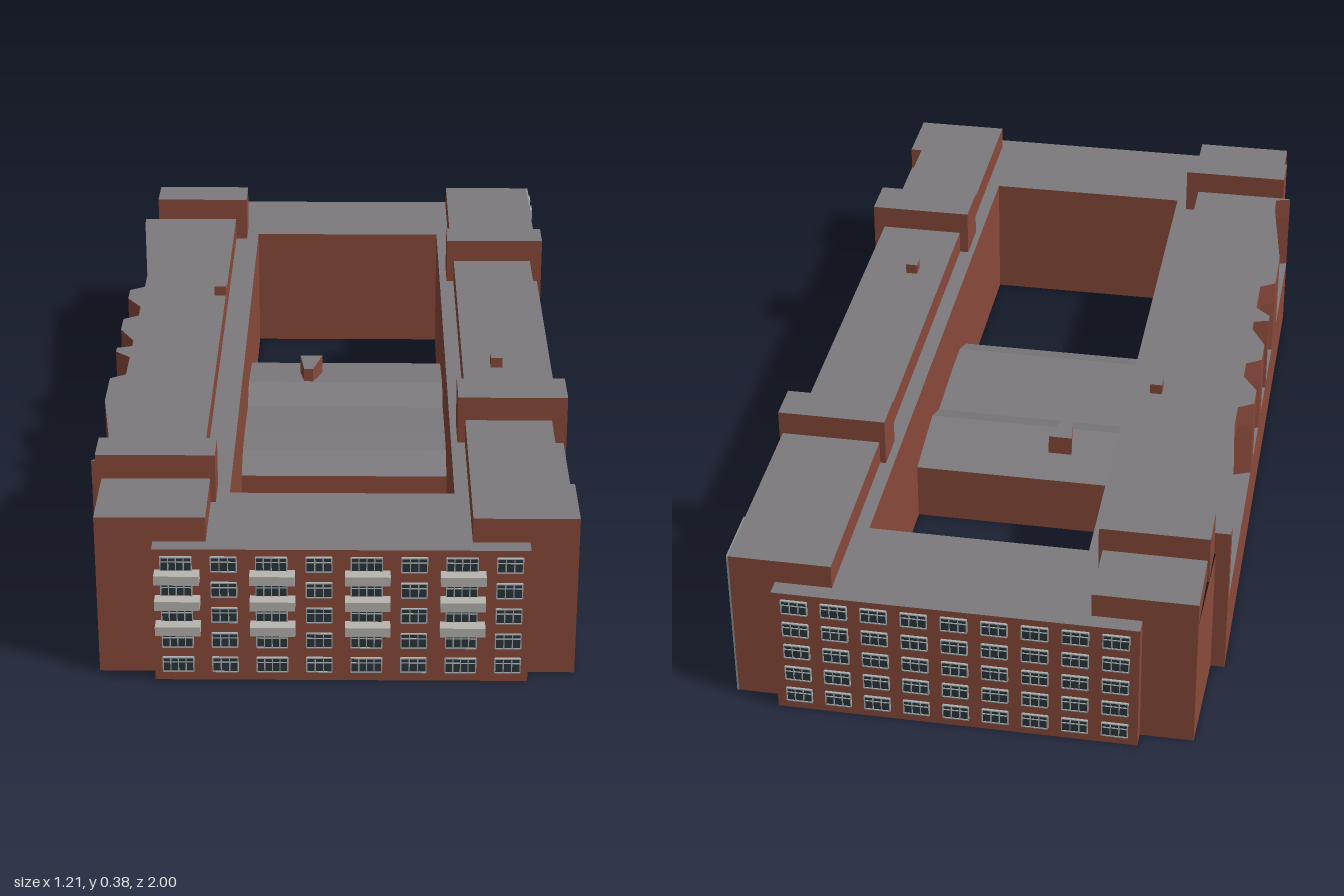
import * as THREE from 'three';

const mat = (color, side = THREE.FrontSide) =>
  new THREE.MeshStandardMaterial({ color, side, flatShading: true });

export function createModel() {
  const model = new THREE.Group();
  model.name = 'courtyardBlock';
  const block = new THREE.Group();
  block.name = 'building';
  block.rotation.y = 0.178; // the block stands at an angle to the axes
  model.add(block);

  const brick = mat(0x8a4a3b, THREE.DoubleSide);
  const roof = mat(0x7d7a7d, THREE.DoubleSide);
  const render = mat(0x8f9696, THREE.DoubleSide);
  const glass = mat(0x2c363c);
  const frame = mat(0xa9b0b2);
  const white = mat(0xb8b6b0);

  const rect = (x0, x1, z0, z1) => [[x0, z0], [x1, z0], [x1, z1], [x0, z1]];
  const toPath = (C, p) => new C(p.map(([x, z]) => new THREE.Vector2(x, -z)));

  // Flat roof or ledge, plan in [x, z]
  function slab(name, plan, y) {
    const geo = new THREE.ShapeGeometry(toPath(THREE.Shape, plan)).rotateX(-Math.PI / 2);
    const m = new THREE.Mesh(geo, roof);
    m.position.y = y;
    m.name = name;
    block.add(m);
  }

  // Brick walls rising along a plan, open above and below
  function walls(name, plan, y0, y1, holes = []) {
    const shape = toPath(THREE.Shape, plan);
    shape.holes = holes.map((h) => toPath(THREE.Path, h));
    const geo = new THREE.ExtrudeGeometry(shape, { depth: y1 - y0, bevelEnabled: false });
    geo.rotateX(-Math.PI / 2).translate(0, y0, 0);
    const { start, count } = geo.groups[1];
    const out = new THREE.BufferGeometry();
    const pos = geo.attributes.position.array.slice(start * 3, (start + count) * 3);
    out.setAttribute('position', new THREE.BufferAttribute(pos, 3));
    out.computeVertexNormals();
    const m = new THREE.Mesh(out, brick);
    m.name = name;
    block.add(m);
  }

  function mass(name, plan, y0, y1) {
    walls(name + 'Walls', plan, y0, y1);
    slab(name + 'Roof', plan, y1);
  }

  function box(parent, name, material, w, h, d, x, y, z) {
    const m = new THREE.Mesh(new THREE.BoxGeometry(w, h, d), material);
    m.position.set(x, y, z);
    m.name = name;
    parent.add(m);
  }

  // Window facing +z: dark pane, surround and glazing bars
  function windowUnit(parent, x, y, z, w, h, bars) {
    const g = new THREE.Group();
    g.name = 'window';
    g.position.set(x, y, z);
    box(g, 'pane', glass, w, h, 0.004, 0, 0, 0.001);
    const t = 0.0022;
    for (const s of [-1, 1]) box(g, 'rail', frame, w, t, 0.006, 0, s * h / 2, 0.002);
    for (let i = 0; i <= bars; i++)
      box(g, 'mullion', frame, t, h, 0.006, -w / 2 + (i * w) / bars, 0, 0.002);
    box(g, 'transom', frame, w, t * 0.7, 0.006, 0, h * 0.18, 0.002);
    parent.add(g);
  }

  function facade(name, x, z, turn) {
    const g = new THREE.Group();
    g.name = name;
    g.position.set(x, 0, z);
    g.rotation.y = turn;
    block.add(g);
    return g;
  }
  const rows = [0.035, 0.088, 0.142, 0.196, 0.25];

  // Recesses in the left flank as [rear, rear inner, front inner, front] along z
  const recesses = [[-0.66, -0.32, -0.25, -0.23], [-0.18, -0.13, -0.08, -0.06],
    [0.0, 0.06, 0.09, 0.1], [0.12, 0.15, 0.24, 0.26], [0.37, 0.6, 0.64, 0.65]];
  const flank = (inner) => [[-0.487, -0.69],
    ...recesses.flatMap(([a, b, c, d]) => [[-0.487, a], [inner, b], [inner, c], [-0.487, d]])];
  const rightRecess = [[0.45, 0], [0.42, -0.04], [0.42, -0.23], [0.45, -0.25]];

  // Ring outline with the slight projections of towers and facades
  const ring = (left, right) => [
    [-0.35, 0.925], [0.358, 0.925], [0.358, 0.892], [0.45, 0.892],
    [0.45, 0.46], [0.456, 0.46], [0.456, 0.365], [0.45, 0.365], ...right,
    [0.45, -0.417], [0.459, -0.417], [0.459, -0.498], [0.452, -0.498],
    [0.452, -0.918], [0.362, -0.918], [0.362, -0.951], [-0.347, -0.951],
    [-0.347, -0.919], [-0.452, -0.919], [-0.459, -0.69], ...left,
    [-0.47, 0.652], [-0.47, 0.73], [-0.459, 0.73], [-0.459, 0.893], [-0.35, 0.893],
  ];
  const plain = ring([[-0.487, -0.69], [-0.487, 0.65]], []);
  const rearCourt = rect(-0.215, 0.222, -0.72, -0.288);
  const frontCourt = rect(-0.215, 0.222, 0.253, 0.69);
  const wholeCourt = rect(-0.215, 0.222, -0.72, 0.69);
  walls('groundStorey', plain, 0, 0.1, [rearCourt, frontCourt]);
  walls('firstStorey', plain, 0.1, 0.155, [wholeCourt]);
  walls('upperStoreys', ring(flank(-0.44), rightRecess), 0.155, 0.28, [wholeCourt]);

  // Ledges at the foot of the recesses
  for (const [a, b, c, d] of recesses)
    slab('recessLedge', [[-0.487, a], [-0.487, d], [-0.44, c], [-0.44, b]], 0.155);
  slab('recessLedge', rightRecess, 0.155);

  // Lower roofs of the front and back ranges, and ledges along the wings
  slab('frontRoof', [[-0.35, 0.925], [0.358, 0.925], [0.358, 0.892], [0.25, 0.892],
    [0.25, 0.69], [-0.25, 0.69], [-0.25, 0.893], [-0.35, 0.893]], 0.28);
  slab('backRoof', [[-0.347, -0.951], [0.362, -0.951], [0.362, -0.918], [0.25, -0.918],
    [0.25, -0.72], [-0.25, -0.72], [-0.25, -0.919], [-0.347, -0.919]], 0.28);
  for (const [x0, x1, z0, z1] of [[-0.268, -0.215, -0.72, 0.69], [0.222, 0.254, -0.72, 0.69],
    [0.432, 0.45, -0.417, 0.365], [0.425, 0.45, 0.46, 0.747]])
    slab('wingLedge', rect(x0, x1, z0, z1), 0.28);

  // Raised top storeys of the wings and corners
  mass('rightWingTop', rect(0.254, 0.432, -0.417, 0.365), 0.28, 0.33);
  mass('leftWingTop', [...flank(-0.455), [-0.487, 0.652], [-0.268, 0.652], [-0.268, -0.69]], 0.28, 0.33);
  mass('frontLeftCornerTop', rect(-0.459, -0.25, 0.73, 0.893), 0.28, 0.33);
  mass('frontRightCornerTop', [[0.25, 0.46], [0.425, 0.46], [0.425, 0.747],
    [0.45, 0.747], [0.45, 0.892], [0.25, 0.892]], 0.28, 0.33);
  mass('backRightCornerTop', rect(0.25, 0.452, -0.918, -0.498), 0.28, 0.33);
  mass('backLeftCornerTop', rect(-0.452, -0.25, -0.919, -0.765), 0.28, 0.33);

  // Tower heads crossing the wings
  mass('frontLeftTower', rect(-0.47, -0.24, 0.652, 0.73), 0.28, 0.38);
  mass('frontRightTower', rect(0.235, 0.456, 0.365, 0.46), 0.28, 0.38);
  mass('backRightTower', rect(0.238, 0.459, -0.498, -0.417), 0.28, 0.38);
  mass('backLeftTower', rect(-0.456, -0.242, -0.78, -0.69), 0.28, 0.38);

  // Low link between the two courts, with a stepped sloping roof
  const profile = [[-0.288, 0.125], [-0.125, 0.15], [-0.055, 0.12], [0.1, 0.13], [0.185, 0.128], [0.253, 0.1]];
  profile.slice(1).forEach(([z1, y1], i) => {
    const [z0, y0] = profile[i];
    const geo = new THREE.PlaneGeometry(0.437, Math.hypot(z1 - z0, y1 - y0));
    geo.rotateX(-Math.PI / 2 + Math.atan2(y0 - y1, z1 - z0));
    const m = new THREE.Mesh(geo, roof);
    m.position.set(0.0035, (y0 + y1) / 2, (z0 + z1) / 2);
    m.name = 'linkRoof';
    block.add(m);
  });
  box(block, 'linkParapet', brick, 0.437, 0.025, 0.002, 0.0035, 0.1125, -0.287);

  // Vents on the link and the wing roofs
  mass('linkVent', [[-0.1, -0.205], [-0.05, -0.205], [-0.07, -0.13], [-0.09, -0.13]], 0.13, 0.18);
  mass('leftVent', rect(-0.293, -0.268, -0.227, -0.199), 0.33, 0.352);
  mass('rightVent', rect(0.313, 0.338, 0.168, 0.196), 0.33, 0.352);

  // Front: eight window columns, balconies on every second one
  const front = facade('frontFacade', 0, 0.925, 0);
  for (let i = 0; i < 8; i++) {
    const x = -0.305 + i * 0.0892;
    for (const y of rows) windowUnit(front, x, y, 0, i % 2 ? 0.048 : 0.058, 0.03, i % 2 ? 3 : 4);
    if (i % 2 === 0)
      for (const y of [0.12, 0.174, 0.228])
        box(front, 'balcony', white, 0.085, 0.019, 0.028, x + 0.002, y, 0.014);
  }

  // Back: regular window grid
  const back = facade('backFacade', 0.0075, -0.951, Math.PI);
  for (let i = 0; i < 9; i++)
    for (const y of rows) windowUnit(back, -0.31 + i * 0.0775, y, 0, 0.05, 0.03, 3);

  // Right rear: pale rendered facade
  const side = facade('paleFacade', 0.452, -0.709, Math.PI / 2);
  box(side, 'paleWall', render, 0.418, 0.285, 0.004, 0, 0.1425, 0.001);
  box(side, 'paleWallUpper', render, 0.128, 0.045, 0.004, 0.145, 0.3075, 0.001);
  for (let i = 0; i < 6; i++)
    [...rows, 0.303].forEach((y, r) => {
      if (r < 5 || i > 3) windowUnit(side, -0.186 + i * 0.0722, y, 0.003, 0.032, 0.026, 2);
    });

  // Centre in plan
  const c = new THREE.Box3().setFromObject(model, true).getCenter(new THREE.Vector3());
  block.position.set(-c.x, 0, -c.z);
  return model;
}
